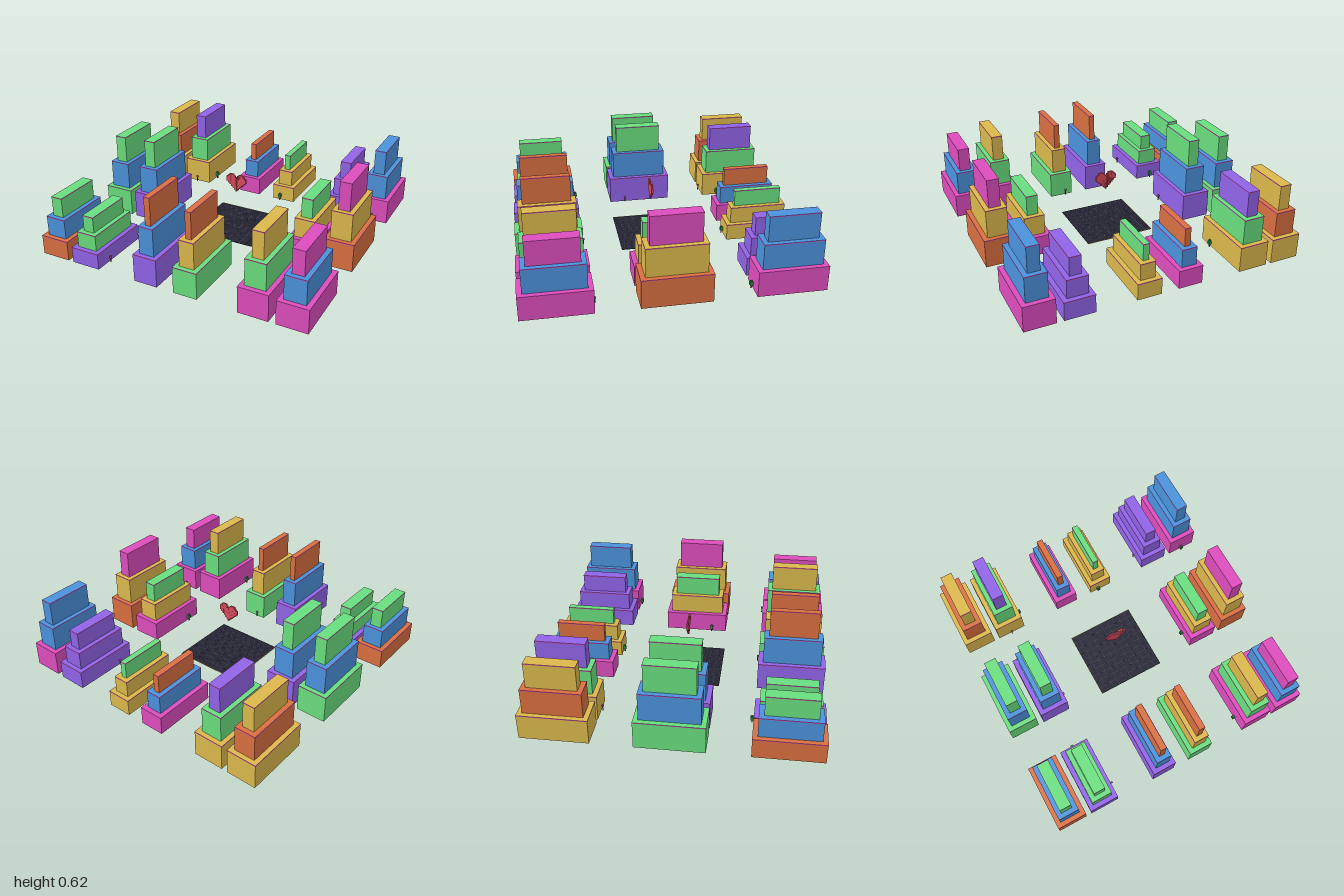
import * as THREE from 'three';

const C = {
  o: 0xd96f40, p: 0x9163e8, g: 0x69de7e, b: 0x4b92dc, m: 0xdd4dbd, y: 0xdbb84c,
  dark: 0x232333, grid: 0x50505f, heart: 0xd94a5c, leaf: 0x2f8a46, trunk: 0x6b4630, lamp: 0xc05a8a, pole: 0x33333d,
};
const mats = {};
const mat = (k) => (mats[k] ??= new THREE.MeshStandardMaterial({ color: C[k] }));

// Box standing on height y
function box(parent, name, k, w, h, d, x, y, z) {
  const m = new THREE.Mesh(new THREE.BoxGeometry(w, h, d), mat(k));
  m.name = name;
  m.position.set(x, y + h / 2, z);
  parent.add(m);
  return m;
}

// Three-tier tower: each tier steps inwards and carries a thin trim under its top edge
function tower(x, z, width, height, colors) {
  const g = new THREE.Group();
  g.name = 'tower';
  const h = height / 3, t = 0.006;
  [...colors].forEach((k, i) => {
    const w = width - i * 0.066, d = 0.473 - i * 0.066;
    box(g, 'tier', k, w, h, d, 0, i * h, 0);
    for (const s of [-1, 1]) {
      box(g, 'trim', 'm', w, t, 0.002, 0, (i + 1) * h - t, s * d / 2);
      box(g, 'trim', 'm', 0.002, t, d, s * w / 2, (i + 1) * h - t, 0);
    }
  });
  g.position.set(x, 0, z);
  return g;
}

function tree(x, z) {
  const g = new THREE.Group();
  g.name = 'tree';
  box(g, 'trunk', 'trunk', 0.008, 0.025, 0.008, 0, 0, 0);
  box(g, 'foliage', 'leaf', 0.022, 0.024, 0.022, 0, 0.023, 0);
  box(g, 'foliageTop', 'leaf', 0.013, 0.01, 0.013, 0, 0.047, 0);
  g.position.set(x, 0, z);
  return g;
}

function lamp(x, z) {
  const g = new THREE.Group();
  g.name = 'lamp';
  box(g, 'lampPole', 'pole', 0.005, 0.036, 0.005, 0, 0, 0);
  box(g, 'lampHead', 'lamp', 0.012, 0.012, 0.012, 0, 0.034, 0);
  g.position.set(x, 0, z);
  return g;
}

// Pixel heart: each row is a list of [first, last] columns
function heart() {
  const g = new THREE.Group();
  g.name = 'heart';
  const rows = [
    [[-4, -2], [2, 4]], [[-5, -1], [1, 5]], [[-6, 6]], [[-6, 6]], [[-6, 6]],
    [[-5, 5]], [[-4, 4]], [[-3, 3]], [[-2, 2]], [[-1, 1]], [[0, 0]],
  ];
  const s = 0.0122;
  rows.forEach((spans, r) => {
    for (const [a, b] of spans)
      for (let i = a; i <= b; i++)
        box(g, 'heartPixel', 'heart', s * 0.98, s * 0.98, 0.013, i * s, 0.397 - r * s, 0);
  });
  return g;
}

// Dark tiled plaza with a thin yellow border on two sides
function plaza() {
  const g = new THREE.Group();
  g.name = 'plaza';
  box(g, 'plazaSlab', 'dark', 0.506, 0.003, 0.506, 0, 0, 0);
  for (let i = 1; i < 10; i++) {
    const p = -0.253 + i * 0.0506;
    box(g, 'gridLine', 'grid', 0.0015, 0.0006, 0.506, p, 0.003, 0);
    box(g, 'gridLine', 'grid', 0.506, 0.0006, 0.0015, 0, 0.003, p);
  }
  box(g, 'border', 'y', 0.003, 0.004, 0.506, -0.2535, 0, 0);
  box(g, 'border', 'y', 0.506, 0.004, 0.003, 0, 0, -0.2535);
  return g;
}

export function createModel() {
  const root = new THREE.Group();
  root.name = 'towerCity';

  // Columns: centre x and tower width
  const cols = [[-0.892, 0.215], [-0.637, 0.215], [-0.151, 0.175], [0.149, 0.175], [0.63, 0.213], [0.892, 0.215]];
  // Rows: centre z, then colours and height per column (bottom tier first)
  const rows = [
    [-0.763, [['yoy', 0.545], ['ygp', 0.555], ['mbo', 0.4], ['yyg', 0.36], ['ppp', 0.4], ['mbb', 0.543]]],
    [0, [['gbg', 0.6], ['pbg', 0.61], null, null, ['myg', 0.435], ['oym', 0.615]]],
    [0.763, [['obg', 0.43], ['pgg', 0.348], ['pbo', 0.606], ['gyo', 0.577], ['mgy', 0.57], ['mbm', 0.516]]],
  ];
  for (const [z, list] of rows)
    list.forEach((t, i) => t && root.add(tower(cols[i][0], z, cols[i][1], t[1], t[0])));

  root.add(plaza(), heart());

  // Street furniture beside the towers
  for (const [x, z] of [[-0.515, -0.642], [0.125, -0.515], [0.887, -0.515], [0.511, 0.125], [-0.645, 0.513], [0.511, 0.89]])
    root.add(tree(x, z));
  for (const [x, z] of [[-0.639, -0.515], [0.511, -0.639], [-0.515, 0.12], [-0.515, 0.88], [0.118, 0.515], [0.88, 0.515]])
    root.add(lamp(x, z));

  return root;
}
